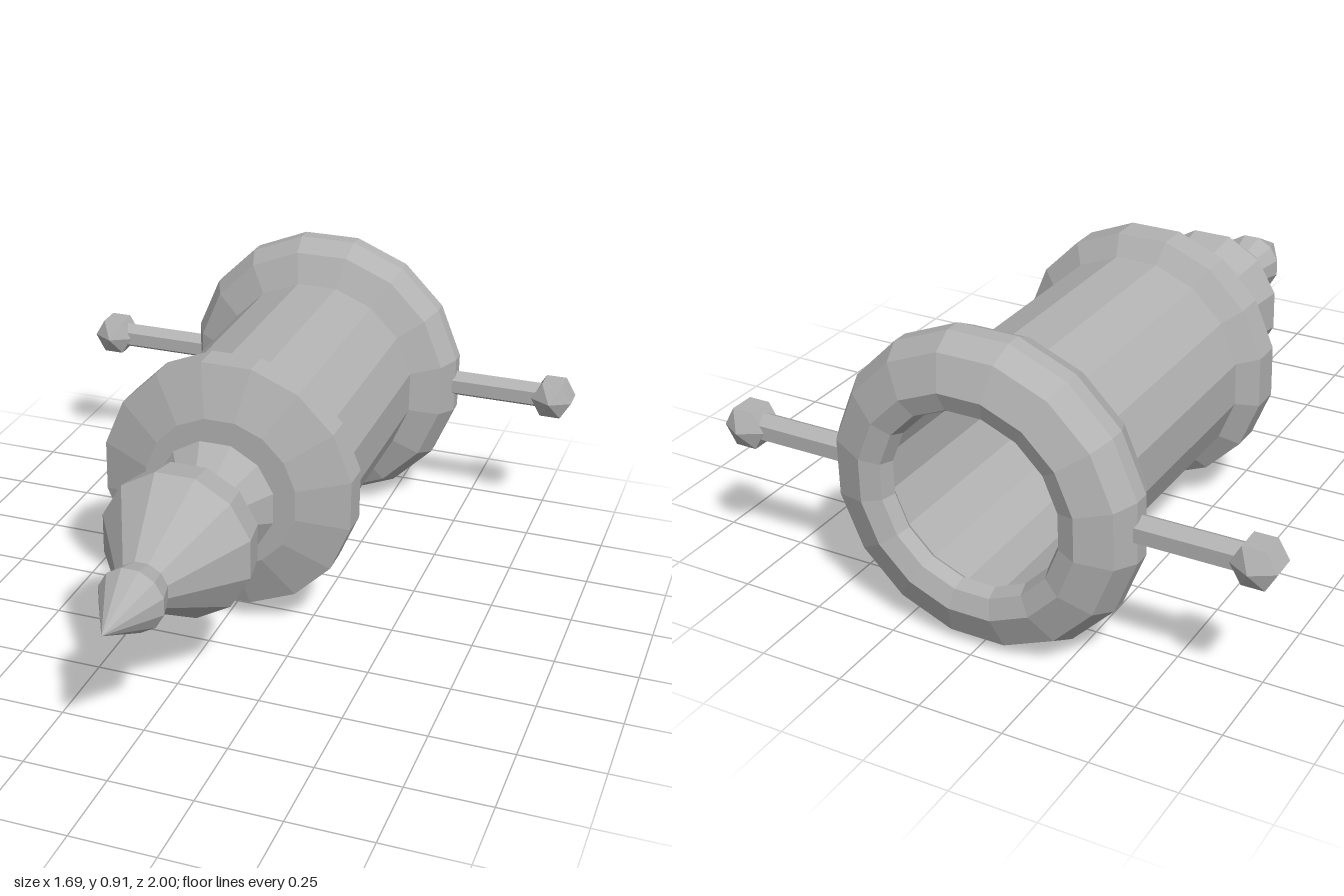
import * as THREE from 'three';

const AXIS_Y = 0.455;

export function createModel() {
  const group = new THREE.Group();
  const metal = new THREE.MeshStandardMaterial({ color: 0xb2b2b2, flatShading: true });
  metal.name = 'grey metal';

  function add(name, geometry, x = 0, z = 0) {
    const mesh = new THREE.Mesh(geometry, metal);
    mesh.name = name;
    mesh.position.set(x, AXIS_Y, z);
    group.add(mesh);
  }

  // Turned part around the z axis; profile is [z, radius to the flat], rear to front
  function turned(name, profile, sides) {
    const k = 1 / Math.cos(Math.PI / sides);
    const points = profile.map(([z, r]) => new THREE.Vector2(r * k, z));
    add(name, new THREE.LatheGeometry(points, sides, Math.PI / sides).rotateX(Math.PI / 2));
  }

  // Hollow bore, from its closed end back to the rim
  turned('bore', [[-0.1, 0], [-0.1, 0.28], [-0.91, 0.28]], 16);

  // Rounded rear ring, from inside the mouth around to the barrel
  turned('rearRing', [
    [-0.91, 0.28], [-0.94, 0.255], [-0.98, 0.27], [-1.0, 0.325], [-0.962, 0.42], [-0.895, 0.454],
    [-0.847, 0.454], [-0.78, 0.42], [-0.738, 0.328],
  ], 16);

  turned('barrel', [[-0.738, 0.328], [-0.03, 0.328]], 16);

  // Bevelled front flange
  turned('frontFlange', [
    [-0.03, 0.328], [0.01, 0.388], [0.1, 0.388], [0.155, 0.235], [0.155, 0],
  ], 16);

  // Pointed finial
  turned('finial', [
    [0.15, 0.155], [0.19, 0.18], [0.28, 0.102], [0.39, 0.205], [0.495, 0.222],
    [0.735, 0.075], [0.81, 0.095], [1.0, 0],
  ], 12);

  // Side pins with faceted knobs
  for (const side of [1, -1]) {
    const label = side > 0 ? 'left' : 'right';
    const pin = new THREE.CylinderGeometry(0.043, 0.043, 0.34, 6)
      .rotateY(Math.PI / 2).rotateZ(Math.PI / 2);
    add(label + 'Pin', pin, side * 0.58, -0.87);
    add(label + 'Knob', new THREE.SphereGeometry(0.076, 6, 3).rotateX(Math.PI / 2), side * 0.78, -0.87);
  }
  return group;
}
